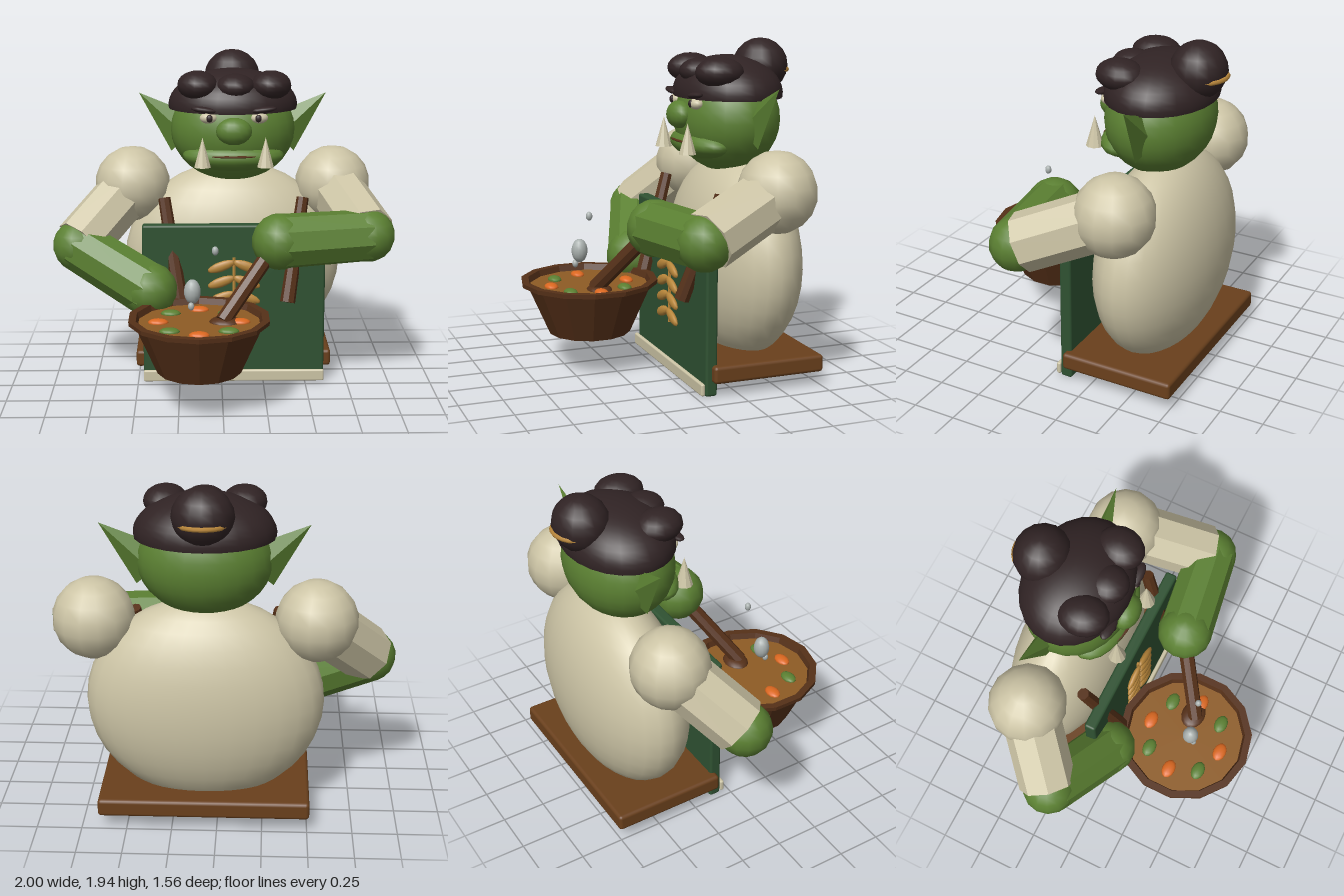
import * as THREE from 'three';
import { RoundedBoxGeometry } from 'three/addons/geometries/RoundedBoxGeometry.js';

const paint = (name, color, side = THREE.FrontSide) => {
  const m = new THREE.MeshStandardMaterial({ color, side });
  m.name = name;
  return m;
};

export function createModel() {
  const root = new THREE.Group();
  const skin = paint('green skin', 0x5b8032);
  const hair = paint('dark hair', 0x302324, THREE.DoubleSide);
  const cream = paint('cream cloth', 0xcdc5a6);
  const apronGreen = paint('apron green', 0x2f5232);
  const wood = paint('wood', 0x6a401c);
  const darkWood = paint('dark wood', 0x553018, THREE.DoubleSide);
  const broth = paint('broth', 0x8e5c25);
  const orange = paint('carrot orange', 0xdc6820);
  const gold = paint('gold', 0xb8863a);
  const silver = paint('silver', 0xaab1af);
  const CX = 0.073; // body centre line

  const add = (name, geo, mat, pos = [0, 0, 0], rot = [0, 0, 0], parent = root) => {
    const m = new THREE.Mesh(geo, mat);
    m.name = name;
    m.position.set(...pos);
    m.rotation.set(...rot);
    parent.add(m);
    return m;
  };
  const flat = (geo) => {
    const g = geo.toNonIndexed();
    g.computeVertexNormals();
    return g;
  };
  const ball = (name, mat, pos, r, rot, seg = 16) => {
    const geo = new THREE.SphereGeometry(1, seg, Math.max(8, Math.round(seg * 0.65)));
    geo.scale(...r);
    return add(name, geo, mat, pos, rot);
  };
  // Faceted rod between two points
  const rod = (name, mat, a, b, ra, rb, sides = 8) => {
    const A = new THREE.Vector3(...a), B = new THREE.Vector3(...b);
    const d = B.clone().sub(A);
    const m = add(name, flat(new THREE.CylinderGeometry(rb, ra, d.length(), sides)), mat,
      A.clone().add(B).multiplyScalar(0.5).toArray());
    m.quaternion.setFromUnitVectors(new THREE.Vector3(0, 1, 0), d.normalize());
    return m;
  };

  // Body and base board
  ball('body', cream, [CX, 0.68, -0.45], [0.66, 0.6, 0.32], undefined, 28);
  add('baseBoard', new RoundedBoxGeometry(1.17, 0.1, 0.67, 2, 0.02), wood, [CX, 0.14, -0.425]);

  // Apron panel, hem and straps
  add('apron', new RoundedBoxGeometry(1.08, 0.965, 0.07, 2, 0.015), apronGreen, [CX, 0.492, -0.09]);
  add('apronHem', new RoundedBoxGeometry(1.08, 0.07, 0.025, 2, 0.01), cream, [CX, 0.052, -0.04]);
  for (const s of [-1, 1]) {
    rod('apronStrap', darkWood, [CX + s * 0.315, 0.52, 0], [CX + s * 0.41, 1.11, -0.19], 0.045, 0.036);
  }

  // Wheat ear on the apron
  for (let i = 0; i < 5; i++) for (const s of [-1, 1]) {
    ball('wheatGrain', gold, [CX + s * 0.075, 0.73 - i * 0.095, -0.036], [0.085, 0.03, 0.02],
      [0, 0, -s * 0.35], 12);
  }
  rod('wheatStem', gold, [CX, 0.3, -0.05], [CX, 0.78, -0.05], 0.01, 0.01, 6);

  // Head, muzzle and nose
  ball('head', skin, [CX, 1.49, -0.4], [0.372, 0.31, 0.295], undefined, 24);
  ball('muzzle', skin, [CX, 1.355, -0.25], [0.3, 0.09, 0.16], undefined, 20);
  ball('nose', skin, [CX, 1.52, -0.11], [0.105, 0.08, 0.072]);
  ball('mouth', darkWood, [CX, 1.37, -0.134], [0.15, 0.011, 0.05]);

  // Paired face parts
  for (const s of [-1, 1]) {
    ball('eye', cream, [CX + s * 0.147, 1.593, -0.152], [0.052, 0.033, 0.04]);
    ball('pupil', hair, [CX + s * 0.142, 1.594, -0.12], [0.02, 0.022, 0.014], undefined, 10);
    ball('brow', hair, [CX + s * 0.17, 1.642, -0.135], [0.08, 0.018, 0.035], [0, 0, s * 0.12], 12);
    add('tusk', flat(new THREE.ConeGeometry(0.05, 0.175, 10)), cream, [CX + s * 0.183, 1.403, -0.085]);
    const ear = rod('ear', skin, [CX + s * 0.28, 1.45, -0.435], [CX + s * 0.563, 1.7, -0.46], 0.135, 0, 4);
    ear.scale.z = 0.5;
  }

  // Hair cap, curls, bun and bun tie
  const cap = new THREE.SphereGeometry(1, 24, 12, 0, Math.PI * 2, 0, Math.PI * 0.53);
  cap.scale(0.385, 0.215, 0.302);
  add('hairCap', cap, hair, [CX, 1.638, -0.405]);
  ball('sideCurl', hair, [CX - 0.21, 1.77, -0.26], [0.12, 0.085, 0.14], [0, 0.2, 0]);
  ball('middleCurl', hair, [CX + 0.01, 1.765, -0.23], [0.115, 0.075, 0.12]);
  ball('sideCurl', hair, [CX + 0.22, 1.77, -0.26], [0.12, 0.085, 0.14], [0, -0.2, 0]);
  ball('bun', hair, [CX, 1.787, -0.612], [0.167, 0.158, 0.158]);
  add('bunTie', new THREE.TorusGeometry(0.127, 0.014, 6, 24), gold, [CX, 1.755, -0.643], [Math.PI / 2 + 0.08, 0, 0]);

  // Arms: puffed shoulder, faceted sleeve, rounded forearm
  const arm = (shoulder, elbow, hand) => {
    const end = new THREE.Vector3(...shoulder).lerp(new THREE.Vector3(...elbow), 0.95).toArray();
    ball('shoulder', cream, shoulder, [0.228, 0.228, 0.222], undefined, 14);
    rod('sleeve', cream, shoulder, end, 0.165, 0.165);
    ball('elbow', skin, elbow, [0.152, 0.152, 0.152], undefined, 14);
    rod('forearm', skin, elbow, hand, 0.152, 0.16, 9);
    ball('hand', skin, hand, [0.162, 0.162, 0.162], undefined, 14);
  };
  arm([-0.535, 1.15, -0.435], [-0.848, 0.83, -0.16], [-0.42, 0.6, 0]);
  arm([0.681, 1.15, -0.435], [0.848, 0.94, 0.06], [0.33, 0.925, 0.135]);

  // Bowl with rim, broth and vegetables
  const BX = -0.133, BZ = 0.375;
  const profile = [[0, 0.24], [0.24, 0.24], [0.365, 0.525], [0.4, 0.53], [0.402, 0.555],
    [0.36, 0.555], [0.335, 0.48]].map(([r, y]) => new THREE.Vector2(r, y));
  add('bowl', flat(new THREE.LatheGeometry(profile, 14)), darkWood, [BX, 0, BZ]);
  add('broth', new THREE.CylinderGeometry(0.35, 0.34, 0.02, 14), broth, [BX, 0.51, BZ]);
  for (let i = 0; i < 8; i++) {
    const a = i * Math.PI / 4;
    ball(i % 2 ? 'greenVegetable' : 'carrotPiece', i % 2 ? skin : orange,
      [BX + 0.23 * Math.cos(a), 0.522, BZ + 0.23 * Math.sin(a)], [0.058, 0.022, 0.039], undefined, 12);
  }

  // Stirring spoon
  rod('spoonHandle', darkWood, [0.0, 0.53, 0.38], [0.32, 0.93, 0.13], 0.045, 0.045);
  ball('spoonHead', darkWood, [0.013, 0.515, 0.36], [0.092, 0.035, 0.073]);

  // Drops above the broth
  ball('largeDrop', silver, [-0.17, 0.715, 0.42], [0.047, 0.07, 0.047], undefined, 14);
  ball('smallDrop', silver, [-0.177, 0.637, 0.445], [0.018, 0.023, 0.018], undefined, 10);
  ball('highDrop', silver, [-0.043, 0.942, 0.4], [0.019, 0.026, 0.019], undefined, 10);

  return root;
}
